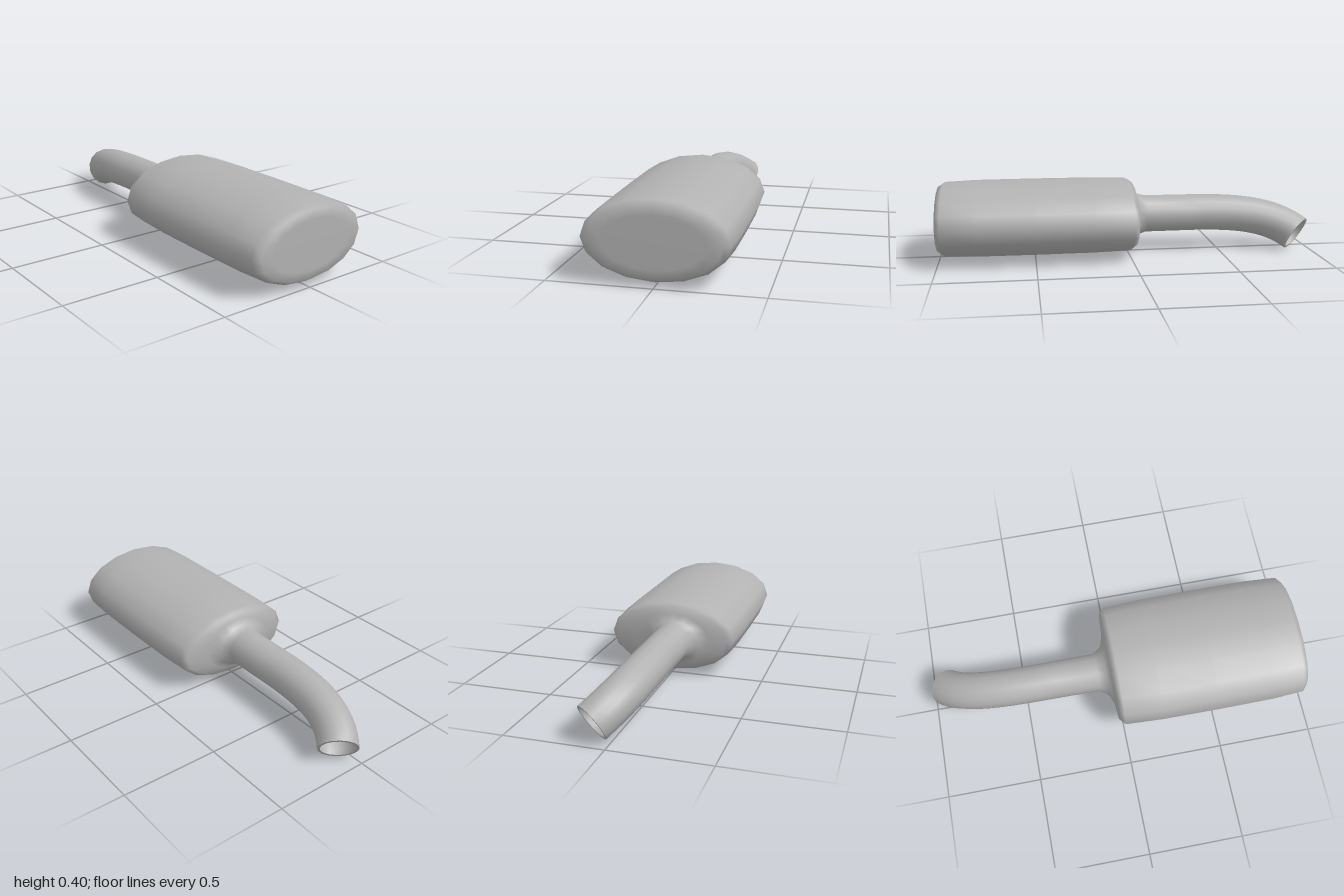
import * as THREE from 'three';

const SIDES = 16;
const V = (x, y, z) => new THREE.Vector3(x, y, z);

// One elliptical cross-section, facing along direction t
function ring(center, t, rx, ry) {
  const u = V(1, 0, 0).addScaledVector(t, -t.x).normalize();
  const v = u.clone().cross(t);
  return Array.from({ length: SIDES }, (_, j) => {
    const a = (j / SIDES) * Math.PI * 2;
    return center.clone().addScaledVector(u, rx * Math.cos(a)).addScaledVector(v, ry * Math.sin(a));
  });
}

// Smooth skin over a list of cross-sections
function loft(rings) {
  const index = [];
  for (let i = 0; i < rings.length - 1; i++) {
    for (let j = 0; j < SIDES; j++) {
      const k = (j + 1) % SIDES;
      const a = i * SIDES + j, b = i * SIDES + k, c = a + SIDES, d = b + SIDES;
      index.push(a, c, b, b, c, d);
    }
  }
  const geometry = new THREE.BufferGeometry().setFromPoints(rings.flat());
  geometry.setIndex(index);
  geometry.computeVertexNormals();
  return geometry;
}

export function createModel() {
  const group = new THREE.Group();
  const steel = new THREE.MeshStandardMaterial({ color: 0xb2b2b2 });
  steel.name = 'grey steel';
  const add = (name, geometry) => {
    const mesh = new THREE.Mesh(geometry, steel);
    mesh.name = name;
    group.add(mesh);
  };
  const back = V(0, 0, -1);

  // Oval canister from the front cap to the flared neck: z, rx, ry, x, y
  const canister = [
    [1, 0, 0, 0, 0.208],
    [1, 0.235, 0.125, 0, 0.208],
    [0.998, 0.305, 0.168, 0, 0.208],
    [0.97, 0.338, 0.187, 0, 0.208],
    [0.8, 0.349, 0.194, 0, 0.208],
    [0.5, 0.351, 0.195, 0, 0.208],
    [0.2, 0.349, 0.194, 0, 0.208],
    [0, 0.339, 0.188, 0, 0.208],
    [-0.026, 0.31, 0.17, 0, 0.208],
    [-0.034, 0.2, 0.14, -0.012, 0.204],
    [-0.055, 0.136, 0.112, -0.02, 0.2],
    [-0.1, 0.102, 0.101, -0.02, 0.2],
  ].map(([z, rx, ry, x, y]) => ring(V(x, y, z), back, rx, ry));

  // Tail pipe: straight, then bending down and to the side
  const end = V(0.09, 0.087, -0.925);
  const outlet = V(0.55, -0.5, -0.66).normalize();
  const bend = new THREE.CubicBezierCurve3(
    V(-0.02, 0.2, -0.35), V(-0.02, 0.2, -0.68), end.clone().addScaledVector(outlet, -0.15), end);
  const pipe = (r) => Array.from({ length: 15 }, (_, i) =>
    ring(bend.getPoint(i / 14), bend.getTangent(i / 14), r, r));
  add('canister and tail pipe', loft([...canister, ...pipe(0.1)]));

  // Rim and hollow inside of the pipe
  add('pipe rim', loft([ring(end, outlet, 0.1, 0.1), ring(end, outlet, 0.086, 0.086)]));
  add('pipe bore', loft([...pipe(0.086).reverse(), ring(V(-0.02, 0.2, -0.35), back, 0, 0)]));

  return group;
}
